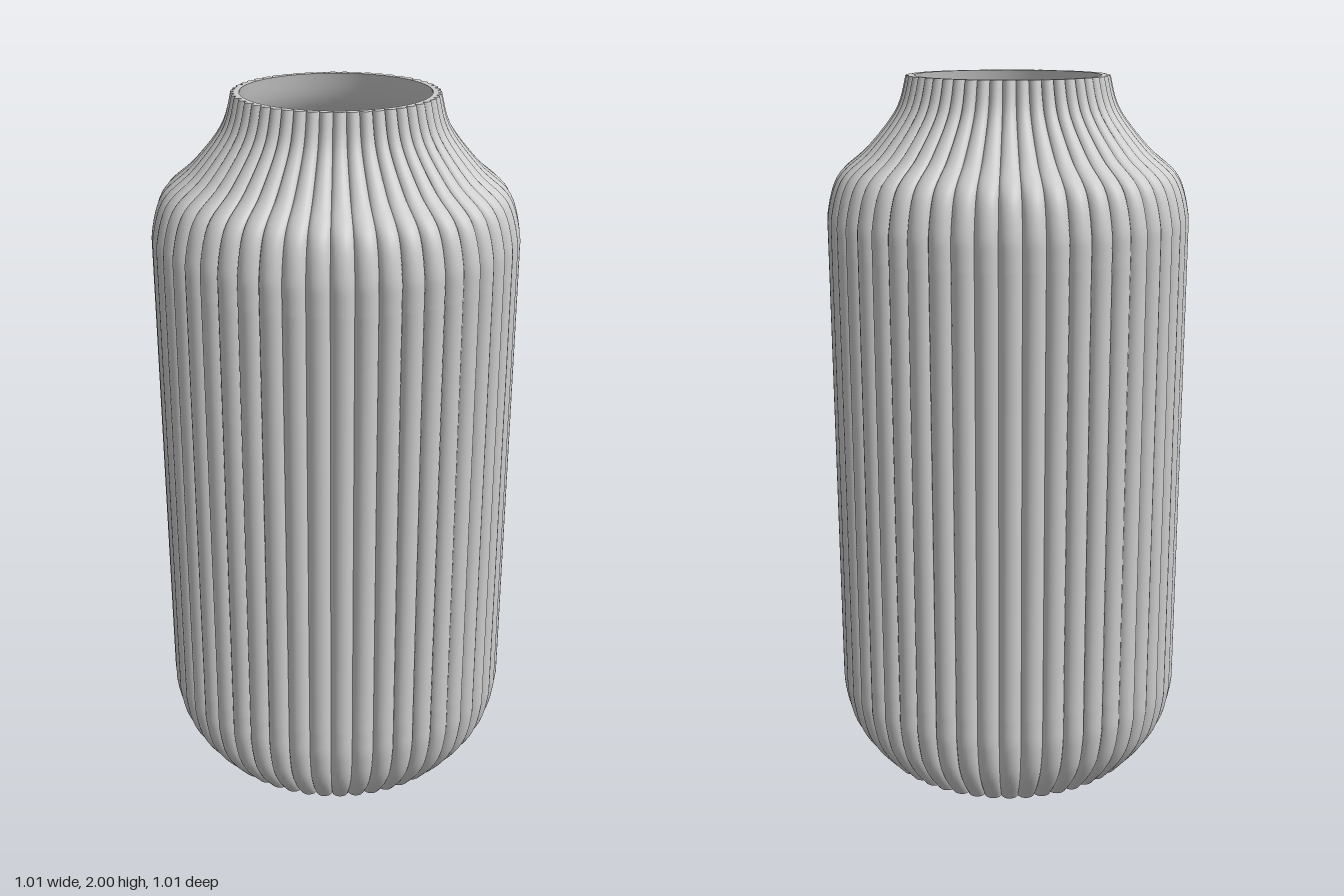
import * as THREE from 'three';

const RIBS = 50, STEPS = 10, BODY = 0.504;
const V = (r, y) => new THREE.Vector2(r, y);

// Outer profile (rib crests) from foot to rim
function outerProfile() {
  const foot = new THREE.SplineCurve([V(0.397, 0), V(0.45, 0.065), V(0.486, 0.135), V(BODY, 0.23), V(BODY, 0.31)]);
  const neck = new THREE.SplineCurve([V(BODY, 1.54), V(BODY, 1.62), V(0.472, 1.73), V(0.388, 1.808), V(0.307, 1.91), V(0.279, 2)]);
  const points = [...foot.getPoints(16), ...neck.getPoints(28)];
  points.forEach(p => { p.x = Math.min(p.x, BODY); });
  return points;
}

// Groove depth grows a little with the radius
const depth = r => 0.006 + 0.033 * r;

// Radius across one rib: rounded crest at t = 0, sharp grooves at t = -1 and 1
const ribRadius = (r, t) => r - depth(r) * (1 - Math.sqrt(1 - 0.95 * t * t)) / (1 - Math.sqrt(0.05));

const ribAngle = (k, t) => (k + t / 2) * Math.PI * 2 / RIBS;
const ribT = i => Math.sin((i / STEPS - 0.5) * Math.PI);

// Each rib has its own vertices, so the grooves stay crisp
function ribbedWall(profile) {
  const pos = [], index = [];
  const row = STEPS + 1;
  for (let k = 0; k < RIBS; k++) {
    const base = pos.length / 3;
    profile.forEach((p, j) => {
      for (let i = 0; i <= STEPS; i++) {
        const t = ribT(i), a = ribAngle(k, t), r = ribRadius(p.x, t);
        pos.push(r * Math.sin(a), p.y, r * Math.cos(a));
        if (j && i) {
          const d = base + j * row + i, c = d - row;
          index.push(c - 1, c, d, c - 1, d, d - 1);
        }
      }
    });
  }
  const g = new THREE.BufferGeometry();
  g.setAttribute('position', new THREE.Float32BufferAttribute(pos, 3));
  g.setIndex(index);
  g.computeVertexNormals();
  return g;
}

// Scalloped outline at a given crest radius
function scallop(radius) {
  const pts = [];
  for (let k = 0; k < RIBS; k++) {
    for (let i = 0; i < STEPS; i++) {
      const t = ribT(i), a = ribAngle(k, t), r = ribRadius(radius, t);
      pts.push(V(r * Math.sin(a), r * Math.cos(a)));
    }
  }
  return new THREE.Shape(pts);
}

export function createModel() {
  const group = new THREE.Group();
  group.name = 'ribbedVase';
  const ceramic = new THREE.MeshStandardMaterial({ color: 0xcccccc });
  ceramic.name = 'light grey ceramic';
  const add = (name, geometry) => {
    const mesh = new THREE.Mesh(geometry, ceramic);
    mesh.name = name;
    group.add(mesh);
    return mesh;
  };

  const profile = outerProfile();
  const rimR = profile[profile.length - 1].x, footR = profile[0].x;
  const wall = 0.023, floorY = 0.03;

  add('ribbedWall', ribbedWall(profile));

  // Flat underside
  add('base', new THREE.ShapeGeometry(scallop(footR)).rotateX(Math.PI / 2));

  // Flat lip between the scalloped edge and the round mouth
  const lip = scallop(rimR);
  lip.holes.push(new THREE.Path().absarc(0, 0, rimR - wall, 0, Math.PI * 2, true));
  add('rim', new THREE.ShapeGeometry(lip, 48).rotateX(-Math.PI / 2)).position.y = 2;

  // Smooth inside, running from the mouth down to the floor
  const inner = profile.filter(p => p.y >= floorY)
    .map(p => V(p.x - wall - 0.07 * (p.x - rimR), p.y)).reverse();
  const floorR = inner[inner.length - 1].x;
  inner.push(V(floorR, floorY));
  add('innerWall', new THREE.LatheGeometry(inner, 96));
  add('innerFloor', new THREE.CircleGeometry(floorR, 96).rotateX(-Math.PI / 2)).position.y = floorY;

  return group;
}
